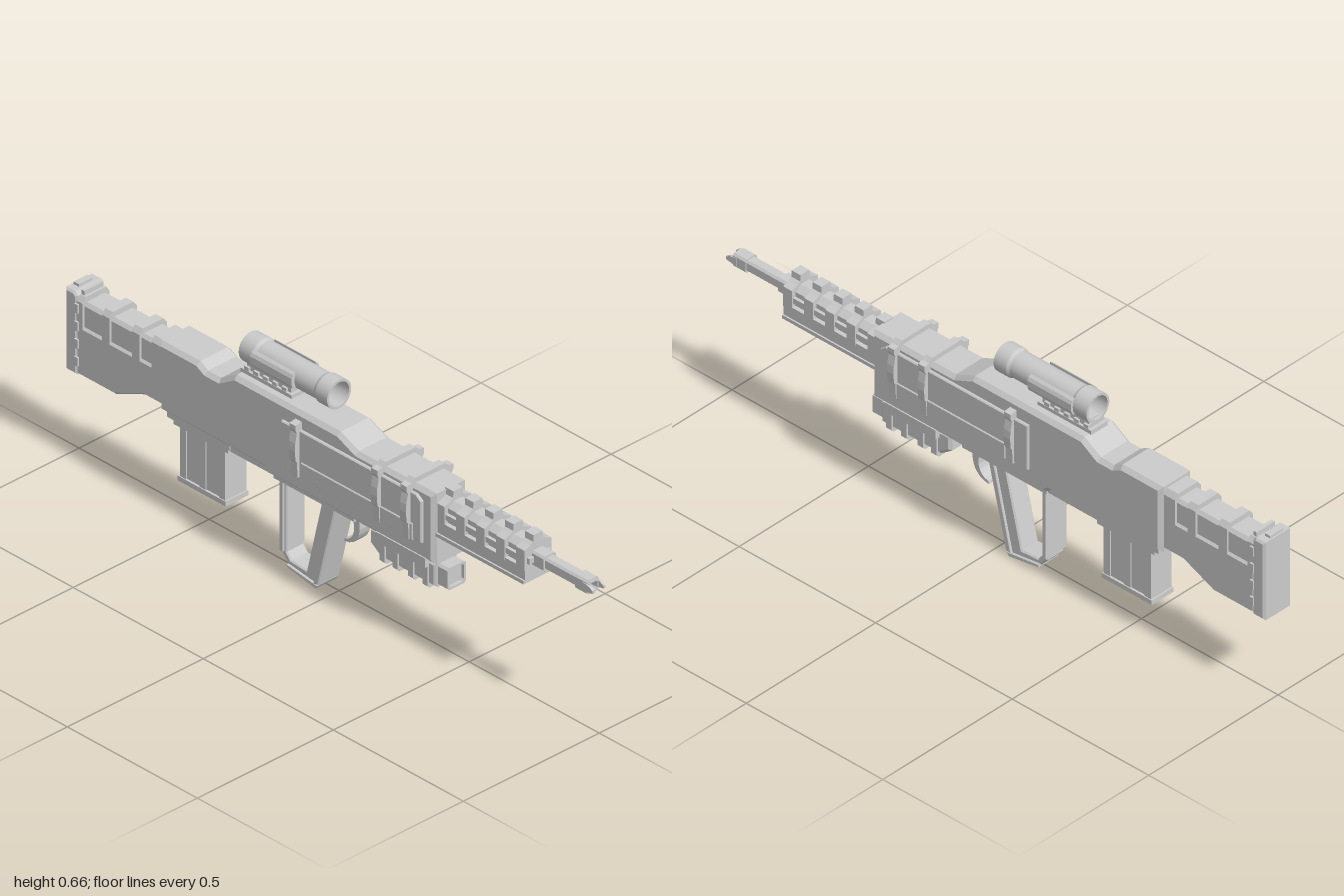
import * as THREE from 'three';

const mat = new THREE.MeshStandardMaterial({ color: 0xcccccc, side: THREE.DoubleSide });

export function createModel() {
  const model = new THREE.Group();
  const add = (name, geo) => {
    const m = new THREE.Mesh(geo, mat);
    m.name = name;
    model.add(m);
    return m;
  };
  // box given by its limits on each axis
  const box = (name, x0, x1, y0, y1, z0, z1) =>
    add(name, new THREE.BoxGeometry(x1 - x0, y1 - y0, Math.abs(z1 - z0))
      .translate((x0 + x1) / 2, (y0 + y1) / 2, (z0 + z1) / 2));
  const shapeOf = pts => new THREE.Shape(pts.map(p => new THREE.Vector2(p[0], p[1])));
  const extrude = (shape, depth, bevel) => new THREE.ExtrudeGeometry(shape, {
    depth: depth - 2 * bevel, bevelEnabled: bevel > 0, bevelSegments: 1,
    bevelSize: bevel, bevelThickness: bevel, bevelOffset: -bevel, curveSegments: 8,
  }).translate(0, 0, bevel - depth / 2);
  // side outline [z, y] given a width across x
  const side = (name, pts, halfW, bevel = 0, holes = []) => {
    const s = shapeOf(pts);
    holes.forEach(h => s.holes.push(shapeOf(h)));
    return add(name, extrude(s, 2 * halfW, bevel).rotateY(-Math.PI / 2));
  };
  // cross-section [x, y] swept along z
  const section = (name, pts, z0, z1, bevel = 0) =>
    add(name, extrude(shapeOf(pts), Math.abs(z1 - z0), bevel).translate(0, 0, (z0 + z1) / 2));
  const mirrored = half => [...half, ...half.slice().reverse().map(([x, y]) => [-x, y])];

  // Receiver
  side('receiver', [[0.43, 0.295], [0.43, 0.515], [0.13, 0.515], [0.06, 0.545], [-0.34, 0.545],
    [-0.4, 0.508], [-0.45, 0.508], [-0.48, 0.525], [-0.63, 0.525], [-0.63, 0.31], [-0.22, 0.31],
    [-0.2, 0.295]], 0.063, 0.012);
  box('receiverFloor', -0.045, 0.045, 0.288, 0.312, -0.6, 0.4);

  // Side panels with clamp bands
  for (const s of [-1, 1]) {
    const name = s > 0 ? 'left' : 'right';
    const panel = side(name + 'Panel', [[0.39, 0.35], [0.39, 0.48], [0.37, 0.495], [-0.15, 0.495],
      [-0.15, 0.35]], 0.006, 0.003);
    panel.position.x = s * 0.066;
    const lower = side(name + 'PanelLip', [[0.36, 0.35], [0.36, 0.4], [-0.07, 0.4], [-0.07, 0.35]], 0.004, 0.002);
    lower.position.x = s * 0.072;
    for (const z of [0.337, 0.225, -0.09]) {
      section(name + 'Band', [[0.055, 0.35], [0.079, 0.35], [0.08, 0.397], [0.086, 0.405], [0.088, 0.435],
        [0.087, 0.46], [0.081, 0.49], [0.086, 0.5], [0.086, 0.515], [0.055, 0.52]].map(([x, y]) => [s * x, y]),
      z - 0.012, z + 0.012);
    }
  }
  for (const z of [0.337, 0.225]) {
    section('topBand', mirrored([[0.07, 0.5], [0.07, 0.516], [0.055, 0.53]]), z - 0.012, z + 0.012);
  }

  // Handguard with raised ribs
  box('handguardBase', -0.054, 0.054, 0.382, 0.393, 0.42, 0.765);
  box('handguardLower', -0.049, 0.049, 0.39, 0.43, 0.42, 0.765);
  section('handguardCore', mirrored([[0.036, 0.42], [0.036, 0.475], [0.016, 0.49]]), 0.42, 0.76);
  for (let i = 0; i < 5; i++) {
    const z = 0.749 - i * 0.077;
    section('handguardRib', mirrored([[0.05, 0.42], [0.05, 0.485], [0.03, 0.493], [0.018, 0.5], [0.017, 0.52]]),
      z - 0.016, z + 0.016);
    if (i < 4) box('handguardRail', -0.046, 0.046, 0.443, 0.46, z - 0.065, z - 0.012);
  }

  // Barrel: hollow, square with cut corners
  const octo = (r, c) => [[r, -r + c], [r, r - c], [r - c, r], [-r + c, r], [-r, r - c], [-r, -r + c], [-r + c, -r], [r - c, -r]];
  const tube = (name, r, inner, z0, z1) => {
    const s = shapeOf(octo(r, 0.006));
    s.holes.push(shapeOf(octo(inner, 0.004)));
    add(name, extrude(s, z1 - z0, 0).translate(0, 0.45, (z0 + z1) / 2));
  };
  tube('barrel', 0.018, 0.013, 0.72, 0.98);
  tube('barrelCollar', 0.023, 0.012, 0.76, 0.81);
  tube('muzzleCollar', 0.022, 0.014, 0.93, 0.975);
  box('barrelPlug', -0.015, 0.015, 0.435, 0.465, 0.76, 0.9);
  box('barrelLugs', -0.04, 0.04, 0.441, 0.459, 0.75, 0.773);
  for (const s of [-1, 1]) {
    side('muzzleProng', [[0.96, 0.437], [0.96, 0.464], [0.985, 0.46], [1, 0.452], [1, 0.444]], 0.004)
      .position.x = s * 0.02;
  }

  // Scope: turned hollow tube with end rings
  const scope = [[0.037, 0], [0.0445, 0], [0.0445, 0.045], [0.04, 0.055], [0.04, 0.28], [0.0445, 0.29],
    [0.0445, 0.34], [0.037, 0.34], [0.037, 0]];
  for (let i = 0; i < scope.length - 1; i++) {
    const pts = [scope[i], scope[i + 1]].map(p => new THREE.Vector2(...p));
    add('scopeTube', new THREE.LatheGeometry(pts, 32).rotateX(-Math.PI / 2).translate(0, 0.613, 0));
  }
  box('scopeReticle', -0.015, 0.015, 0.598, 0.628, -0.18, -0.16);
  for (const s of [-1, 1]) {
    section('scopeSideRail', [[0.037, 0.586], [0.046, 0.592], [0.051, 0.602], [0.051, 0.624], [0.046, 0.634],
      [0.037, 0.64]].map(([x, y]) => [s * x, y]), -0.29, -0.13);
  }
  box('scopeMountBase', -0.032, 0.032, 0.54, 0.556, -0.345, -0.15);
  box('scopeMountNeck', -0.024, 0.024, 0.55, 0.58, -0.33, -0.16);
  for (let i = 0; i < 5; i++) box('scopeMountTooth', -0.031, 0.031, 0.55, 0.567, -0.19 - i * 0.036, -0.172 - i * 0.036);

  // Stock with ribbed top and butt plate
  side('stockBody', [[-0.62, 0.32], [-0.62, 0.425], [-0.96, 0.425], [-0.96, 0.272], [-0.81, 0.272],
    [-0.7, 0.32]], 0.05, 0.006);
  section('stockCore', mirrored([[0.043, 0.41], [0.043, 0.49], [0.034, 0.5]]), -0.96, -0.62);
  for (const [z0, z1] of [[-0.67, -0.62], [-0.745, -0.715], [-0.86, -0.83], [-0.96, -0.935]]) {
    section('stockRib', mirrored([[0.05, 0.41], [0.05, 0.5], [0.038, 0.516]]), z0, z1);
  }
  side('buttPlate', [[-0.955, 0.27], [-0.955, 0.515], [-0.965, 0.525], [-1, 0.525], [-1, 0.27]], 0.053, 0.006);
  box('buttTopCatch', -0.025, 0.025, 0.52, 0.533, -0.995, -0.975);
  box('buttTopPin', -0.035, 0.035, 0.505, 0.53, -0.955, -0.943);
  for (let i = 0; i < 4; i++) box('buttNotch', -0.056, 0.056, 0.3 + i * 0.055, 0.328 + i * 0.055, -0.962, -0.948);

  // Magazine
  box('magazineCollar', -0.05, 0.05, 0.293, 0.315, -0.61, -0.37);
  box('magazineWell', -0.045, 0.045, 0.277, 0.3, -0.59, -0.38);
  box('magazine', -0.035, 0.035, 0.11, 0.29, -0.57, -0.4);
  for (const z of [-0.56, -0.485, -0.41]) box('magazineRib', -0.039, 0.039, 0.12, 0.285, z - 0.012, z + 0.012);
  box('magazineBase', -0.042, 0.042, 0.105, 0.12, -0.577, -0.393);

  // Open loop grip
  side('grip', [[0.027, 0.3], [-0.045, 0.012], [-0.055, 0.004], [-0.16, 0.022], [-0.185, 0.05], [-0.185, 0.3]],
    0.033, 0.004, [[[-0.03, 0.292], [-0.168, 0.292], [-0.168, 0.06], [-0.152, 0.04], [-0.092, 0.036]]]);
  side('gripFrontStrap', [[0.027, 0.29], [-0.04, 0.015], [-0.06, 0.01], [0.006, 0.29]], 0.04, 0.003);
  side('gripFoot', [[-0.042, 0.012], [-0.05, 0], [-0.16, 0.018], [-0.16, 0.028]], 0.04, 0.002);
  box('gripBackStrap', -0.04, 0.04, 0.06, 0.298, -0.187, -0.176);
  box('gripCap', -0.05, 0.05, 0.284, 0.3, -0.2, 0.11);

  // Trigger hook
  const trigger = new THREE.Shape();
  trigger.moveTo(0.085, 0.3);
  trigger.bezierCurveTo(0.115, 0.25, 0.1, 0.185, 0.04, 0.182);
  trigger.lineTo(0.042, 0.191);
  trigger.bezierCurveTo(0.08, 0.195, 0.095, 0.25, 0.055, 0.3);
  add('trigger', extrude(trigger, 0.04, 0).rotateY(-Math.PI / 2));

  // Unit below the front end
  box('lowerUnitMount', -0.058, 0.058, 0.268, 0.298, 0.2, 0.39);
  side('lowerUnit', [[0.415, 0.21], [0.415, 0.285], [0.16, 0.29], [0.16, 0.24], [0.2, 0.212]], 0.043, 0.008);
  for (const z of [0.38, 0.325, 0.265, 0.215]) {
    section('lowerUnitRib', mirrored([[0.04, 0.2], [0.048, 0.208], [0.048, 0.285]]), z - 0.01, z + 0.01);
  }
  const lens = shapeOf(octo(0.034, 0.007));
  lens.holes.push(shapeOf(octo(0.027, 0.006)));
  add('lowerUnitNose', extrude(lens, 0.045, 0).translate(0, 0.248, 0.43));
  box('lowerUnitLens', -0.028, 0.028, 0.22, 0.276, 0.41, 0.442);

  return model;
}
